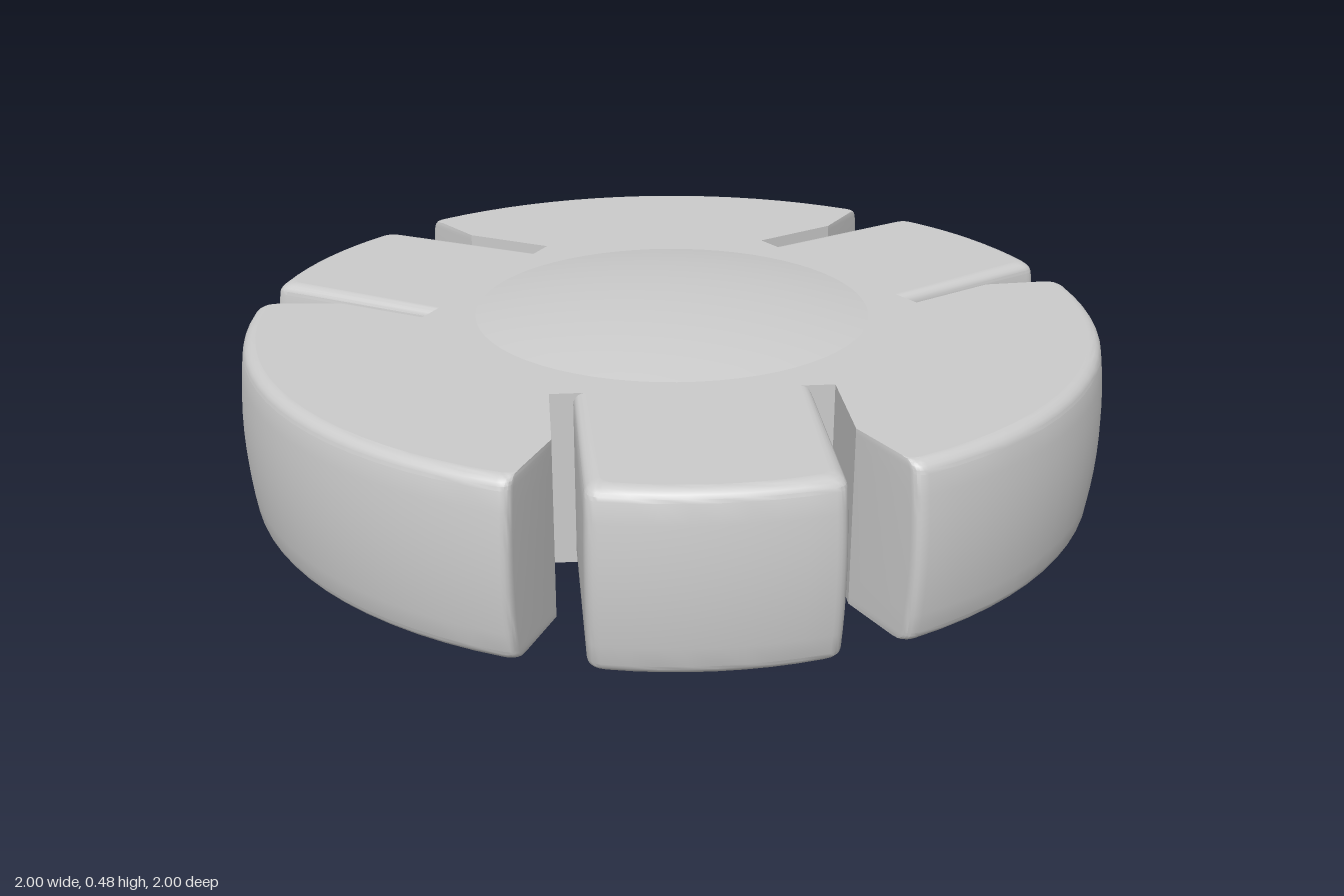
import * as THREE from 'three';
import { toCreasedNormals } from 'three/addons/utils/BufferGeometryUtils.js';

const HALF = 0.197; // half thickness of the disc
const MID = 0.24; // height of the disc's middle
const ROUND = 0.025; // edge rounding
const ARM = 0.25; // half width of an arm

const polar = (deg, r = 1) => {
  const a = THREE.MathUtils.degToRad(deg);
  return new THREE.Vector2(Math.sin(a) * r, Math.cos(a) * r);
};

const corner = (a, b, c) =>
  new THREE.QuadraticBezierCurve(new THREE.Vector2(...a), new THREE.Vector2(...b), new THREE.Vector2(...c)).getPoints(5);

// Outline from the middle of an arm to the middle of the next sector
function halfOutline() {
  const pts = [];
  for (let i = 0; i < 4; i++) pts.push(polar(13 * i / 4));
  pts.push(...corner([0.225, 0.974], [ARM, 0.968], [ARM, 0.94]));
  pts.push(new THREE.Vector2(ARM, 0.5), new THREE.Vector2(0.3, 0.5), new THREE.Vector2(0.3, 0.73));
  pts.push(...corner([0.38, 0.9], [0.39, 0.921], [0.415, 0.91]));
  for (let i = 1; i <= 9; i++) pts.push(polar(24.5 + 35.5 * i / 9));
  return pts;
}

// Three arms alternating with three sectors
function discOutline() {
  const right = halfOutline();
  const left = right.slice(1, -1).reverse().map(p => new THREE.Vector2(-p.x, p.y));
  const pts = [];
  for (let k = 0; k < 3; k++) {
    for (const p of [...left, ...right]) {
      pts.push(p.clone().rotateAround(new THREE.Vector2(), -k * Math.PI * 2 / 3));
    }
  }
  return new THREE.Shape(pts);
}

// Levels through the thickness: height and edge inset
function discLevels() {
  const levels = [];
  for (let i = 0; i <= 5; i++) {
    const a = i / 5 * Math.PI / 2;
    levels.push({ y: -HALF + ROUND * (1 - Math.sin(a)), e: 0, a });
  }
  levels.reverse();
  levels.length = 0;
  for (let i = 0; i <= 5; i++) {
    const a = i / 5 * Math.PI / 2;
    levels.push({ y: -HALF + ROUND * (1 - Math.cos(a)), e: ROUND * (1 - Math.sin(a)) });
  }
  const flat = HALF - ROUND;
  for (let i = 1; i < 8; i++) levels.push({ y: -flat + 2 * flat * i / 8, e: 0 });
  const top = levels.slice(0, 6).reverse().map(l => ({ y: -l.y, e: l.e }));
  return [...levels, ...top];
}

function discGeometry() {
  const levels = discLevels();
  const steps = levels.length - 1;
  let geo = new THREE.ExtrudeGeometry(discOutline(), { depth: 1, steps, bevelEnabled: false });
  const capCount = geo.groups[0].count;
  const pos = geo.attributes.position;
  const origin = new THREE.Vector2();
  const p = new THREE.Vector2();
  for (let i = 0; i < pos.count; i++) {
    const { y, e } = levels[Math.round(pos.getZ(i) * steps)];
    p.set(pos.getX(i), pos.getY(i));
    // turn the point into the frame of its nearest arm
    const third = Math.PI * 2 / 3;
    const turn = Math.round(Math.atan2(p.x, p.y) / third) * third;
    p.rotateAround(origin, turn);
    const onArm = Math.abs(p.x) < ARM + 0.001;
    // bulge the rim and round the edges of rim and arms
    if (p.length() > 0.9) p.multiplyScalar(1 - 0.018 * (y / HALF) ** 2 - e);
    if (onArm) p.x *= (ARM - e) / ARM;
    p.rotateAround(origin, -turn);
    pos.setXYZ(i, p.x, p.y, y);
  }
  geo.clearGroups();
  geo = toCreasedNormals(geo, 0.4);
  // keep the two faces flat
  for (let i = 0; i < capCount; i++) {
    geo.attributes.normal.setXYZ(i, 0, 0, Math.sign(geo.attributes.position.getZ(i)));
  }
  return geo.rotateX(-Math.PI / 2);
}

// Shallow spherical cap, rising from the disc's face
function domeGeometry() {
  const base = 0.46, rise = MID - HALF;
  const r = (base * base + rise * rise) / (2 * rise);
  const full = Math.asin(base / r);
  const pts = [];
  for (let i = 0; i <= 10; i++) {
    const a = full * (1 - i / 10);
    pts.push(new THREE.Vector2(r * Math.sin(a), r * Math.cos(a) - r + rise));
  }
  return new THREE.LatheGeometry(pts, 64);
}

export function createModel() {
  const group = new THREE.Group();
  group.name = 'slottedDisc';
  const material = new THREE.MeshStandardMaterial({ color: 0xcccccc });

  const disc = new THREE.Mesh(discGeometry(), material);
  disc.name = 'disc';
  disc.position.y = MID;
  group.add(disc);

  for (const side of [1, -1]) {
    const dome = new THREE.Mesh(domeGeometry(), material);
    dome.name = side > 0 ? 'topDome' : 'bottomDome';
    dome.position.y = MID + side * HALF;
    if (side < 0) dome.rotation.x = Math.PI;
    group.add(dome);
  }
  return group;
}
